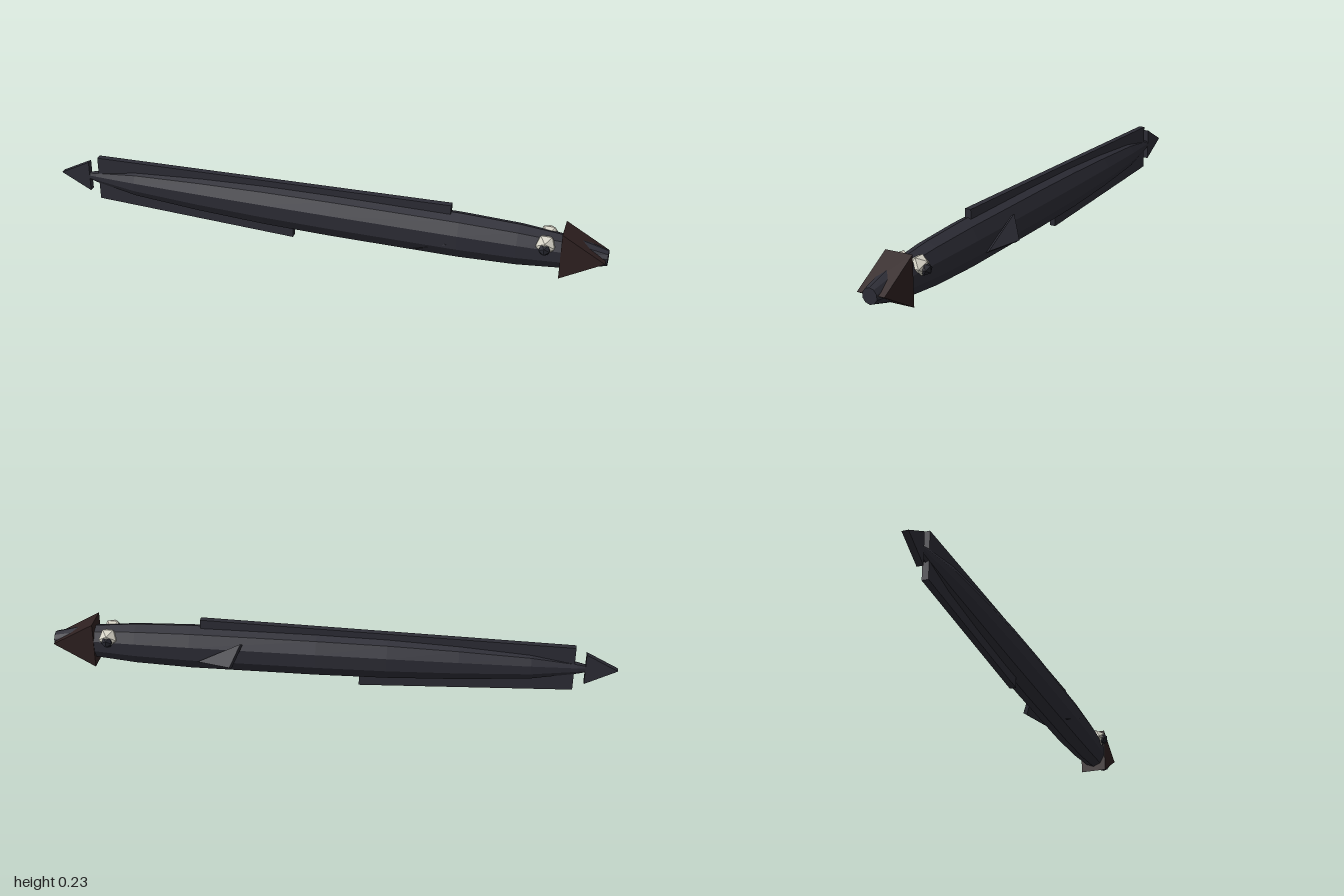
import * as THREE from 'three';
import { ConvexGeometry } from 'three/addons/geometries/ConvexGeometry.js';

const MID_Y = 0.117, MID_Z = 0.023;

function material(name, color) {
  const m = new THREE.MeshStandardMaterial({ color });
  m.name = name;
  return m;
}

// Flat plate in the xy plane, centred on the body in z
function plate(points, depth) {
  const shape = new THREE.Shape(points.map(p => new THREE.Vector2(...p)));
  const geo = new THREE.ExtrudeGeometry(shape, { depth, bevelEnabled: false });
  return geo.translate(0, 0, MID_Z - depth / 2);
}

// Triangle thickened along an offset
function slab(corners, offset) {
  const pts = corners.map(c => new THREE.Vector3(...c));
  const off = new THREE.Vector3(...offset);
  return new ConvexGeometry([...pts, ...pts.map(p => p.clone().add(off))]);
}

// Ten-sided body, taller than wide, turning round at the snout tip
function bodyGeometry() {
  const rings = [[-0.9, 0], [-0.9, 0.012], [-0.86, 0.022], [-0.7, 0.05], [-0.45, 0.068], [-0.2, 0.079],
    [0.05, 0.083], [0.5, 0.083], [0.7, 0.076], [0.85, 0.062], [0.91, 0.052], [1, 0.027], [1, 0]];
  const profile = rings.map(([x, r]) => new THREE.Vector2(r, x));
  const geo = new THREE.LatheGeometry(profile, 10, Math.PI / 2).rotateZ(-Math.PI / 2).toNonIndexed();
  const pos = geo.attributes.position;
  for (let i = 0; i < pos.count; i++) {
    const squash = THREE.MathUtils.mapLinear(Math.max(pos.getX(i), 0.91), 0.91, 1, 0.78, 1);
    pos.setZ(i, pos.getZ(i) * squash);
  }
  geo.translate(0, MID_Y, MID_Z);
  geo.computeVertexNormals();
  return geo;
}

export function createModel() {
  const model = new THREE.Group();
  const skin = material('dark slate skin', 0x2c2c35);
  const brown = material('dark brown', 0x2e2020);
  const cream = material('cream', 0xd6d3c6);
  const pupil = material('pupil', 0x25262e);

  const add = (name, geo, mat) => {
    const mesh = new THREE.Mesh(geo, mat);
    mesh.name = name;
    model.add(mesh);
    return mesh;
  };

  add('body', bodyGeometry(), skin);

  // Wedge-shaped jaw around the snout
  add('headWedge', plate([[0.848, 0.036], [0.995, 0.12], [0.848, 0.205]], 0.098), brown);

  // Long fins along the back and belly, and the tail
  add('dorsalFin', plate([[-0.85, 0.12], [0.465, 0.15], [0.465, 0.229], [-0.85, 0.2]], 0.022), skin);
  add('ventralFin', plate([[-0.85, 0.034], [-0.1, 0.002], [-0.1, 0.08], [-0.85, 0.12]], 0.022), skin);
  add('tailFin', plate([[-1, 0.118], [-0.888, 0.06], [-0.888, 0.176]], 0.022), skin);

  // Side fins: one stands out, the other is folded against the body
  add('rightSideFin', slab([[0.466, 0.098, -0.055], [0.31, 0.181, -0.058], [0.345, 0.106, -0.098]],
    [-0.005, -0.011, 0.015]), skin);
  add('leftSideFin', slab([[0.466, 0.105, 0.087], [0.35, 0.058, 0.07], [0.33, 0.13, 0.04]],
    [-0.002, 0.006, -0.016]), skin);

  // Faceted eyes
  for (const [side, s] of [['left', 1], ['right', -1]]) {
    add(side + 'Eye', new THREE.IcosahedronGeometry(0.037, 0), cream)
      .position.set(0.795, 0.15, MID_Z + s * 0.034);
    add(side + 'Pupil', new THREE.IcosahedronGeometry(0.022, 0), pupil)
      .position.set(0.795, 0.145, MID_Z + s * 0.058);
  }
  return model;
}
